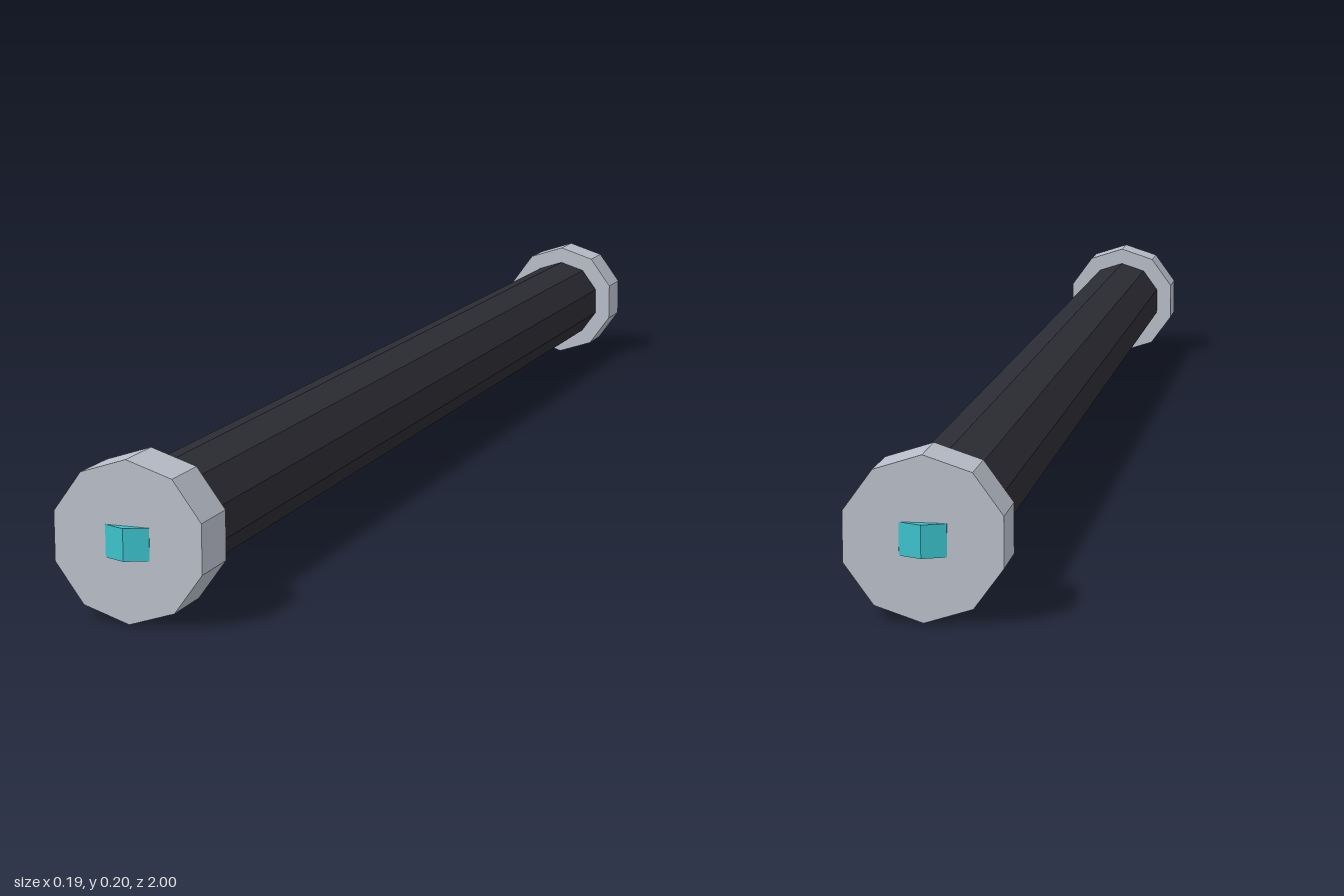
import * as THREE from 'three';

const flat = (name, color) => {
  const m = new THREE.MeshStandardMaterial({ color, flatShading: true });
  m.name = name;
  return m;
};

export function createModel() {
  const group = new THREE.Group();
  group.name = 'rod';
  const black = flat('charcoal black', 0x2b2b33);
  const grey = flat('light grey', 0xb8bec9);
  const teal = flat('teal', 0x3bc1ca);
  const axisY = 0.1;

  const add = (name, geometry, material, z) => {
    const mesh = new THREE.Mesh(geometry, material);
    mesh.name = name;
    mesh.position.set(0, axisY, z);
    group.add(mesh);
  };

  // ten-sided bar lying along z, a corner at top and bottom
  const bar = (radius, length) =>
    new THREE.CylinderGeometry(radius, radius, length, 10).rotateX(Math.PI / 2);

  add('shaft', bar(0.072, 1.86), black, 0);

  // end caps, each with a small upright stud showing through its face
  for (const [end, side] of [['front', 1], ['back', -1]]) {
    add(end + 'Cap', bar(0.1, 0.07), grey, side * 0.953);
    add(end + 'Stud', new THREE.CylinderGeometry(0.04, 0.04, 0.04, 8), teal, side * 0.96);
  }
  return group;
}
